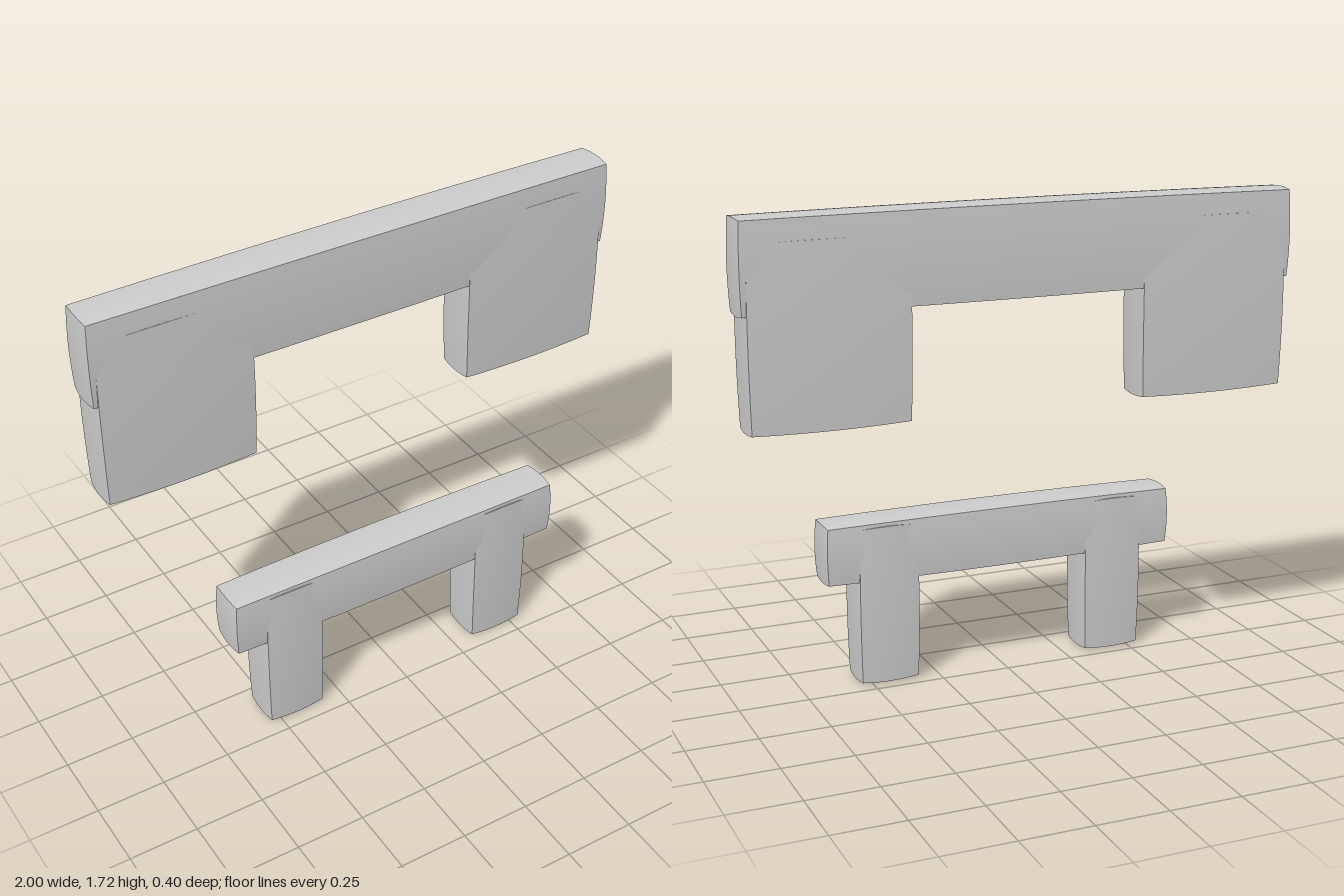
import * as THREE from 'three';

const material = new THREE.MeshStandardMaterial({ color: 0xcccccc });

// Block whose faces and edges swell slightly outward; edges stay crisp.
// Each range is the outermost [min, max] reached at the middle of the faces.
function swollenBlock(name, xr, yr, zr, bulge = 0.01) {
  const size = [xr, yr, zr].map(([a, b]) => b - a);
  const geo = new THREE.BoxGeometry(2, 2, 2, 12, 12, 12);
  const pos = geo.attributes.position;
  const half = size.map((s) => s / 2);
  for (let i = 0; i < pos.count; i++) {
    const s = [pos.getX(i), pos.getY(i), pos.getZ(i)];
    const sq = s.map((v) => v * v);
    const sum = sq[0] + sq[1] + sq[2];
    const p = s.map((v, k) => v * (half[k] - (bulge * (sum - sq[k])) / 2));
    pos.setXYZ(i, p[0], p[1], p[2]);
  }
  geo.computeVertexNormals();
  const mesh = new THREE.Mesh(geo, material);
  mesh.name = name;
  mesh.position.set(...[xr, yr, zr].map(([a, b]) => (a + b) / 2));
  return mesh;
}

// A crossbar resting on a mirrored pair of legs.
function bracket(name, bar, leg) {
  const group = new THREE.Group();
  group.name = name;
  group.add(swollenBlock('crossbar', bar.x, bar.y, bar.z));
  group.add(swollenBlock('leftLeg', leg.x, leg.y, leg.z));
  group.add(swollenBlock('rightLeg', [-leg.x[1], -leg.x[0]], leg.y, leg.z));
  return group;
}

export function createModel() {
  const model = new THREE.Group();
  model.name = 'bracketPair';

  // Large upper piece, set to the back
  model.add(bracket('upperBracket',
    { x: [-1, 1], y: [1.39, 1.716], z: [-0.2, -0.038] },
    { x: [0.418, 0.981], y: [1.002, 1.64], z: [-0.202, -0.036] }));

  // Small lower piece, set to the front
  model.add(bracket('lowerBracket',
    { x: [-0.663, 0.663], y: [0.376, 0.6], z: [0.037, 0.199] },
    { x: [0.319, 0.548], y: [0, 0.585], z: [0.034, 0.202] }));

  return model;
}
